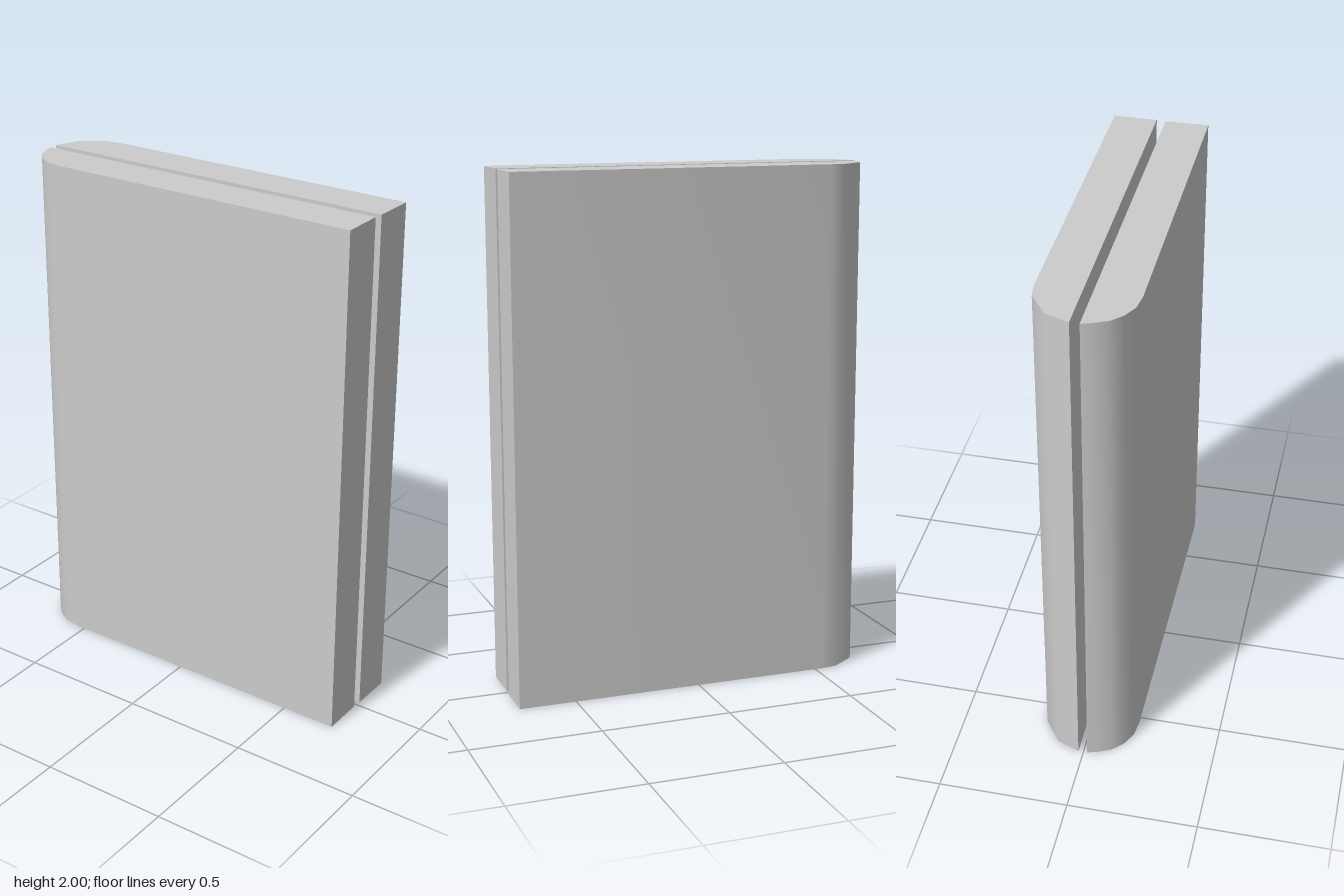
import * as THREE from 'three';
import { toCreasedNormals } from 'three/addons/utils/BufferGeometryUtils.js';

// Upright slab extruded from a plan outline of [x, z] corners
function slab(name, outline) {
  const shape = new THREE.Shape(outline.map(([x, z]) => new THREE.Vector2(x, -z)));
  const extruded = new THREE.ExtrudeGeometry(shape, { depth: 2, bevelEnabled: false });
  extruded.rotateX(-Math.PI / 2);
  const mesh = new THREE.Mesh(
    toCreasedNormals(extruded, 0.7),
    new THREE.MeshStandardMaterial({ color: 0xcccccc })
  );
  mesh.name = name;
  return mesh;
}

export function createModel() {
  const model = new THREE.Group();
  model.name = 'pairedSlabs';

  // Front slab, its outer edge rounded off at -x
  model.add(slab('frontSlab', [
    [0.717, 0.015], [-0.725, 0.015], [-0.715, 0.05], [-0.69, 0.105],
    [-0.65, 0.145], [-0.595, 0.173], [-0.53, 0.182], [0.717, 0.182],
  ]));

  // Back slab, with a coarser rounded edge, behind a narrow gap
  model.add(slab('backSlab', [
    [0.72, -0.02], [-0.725, -0.02], [-0.69, -0.11],
    [-0.595, -0.177], [-0.53, -0.186], [0.722, -0.186],
  ]));

  return model;
}
